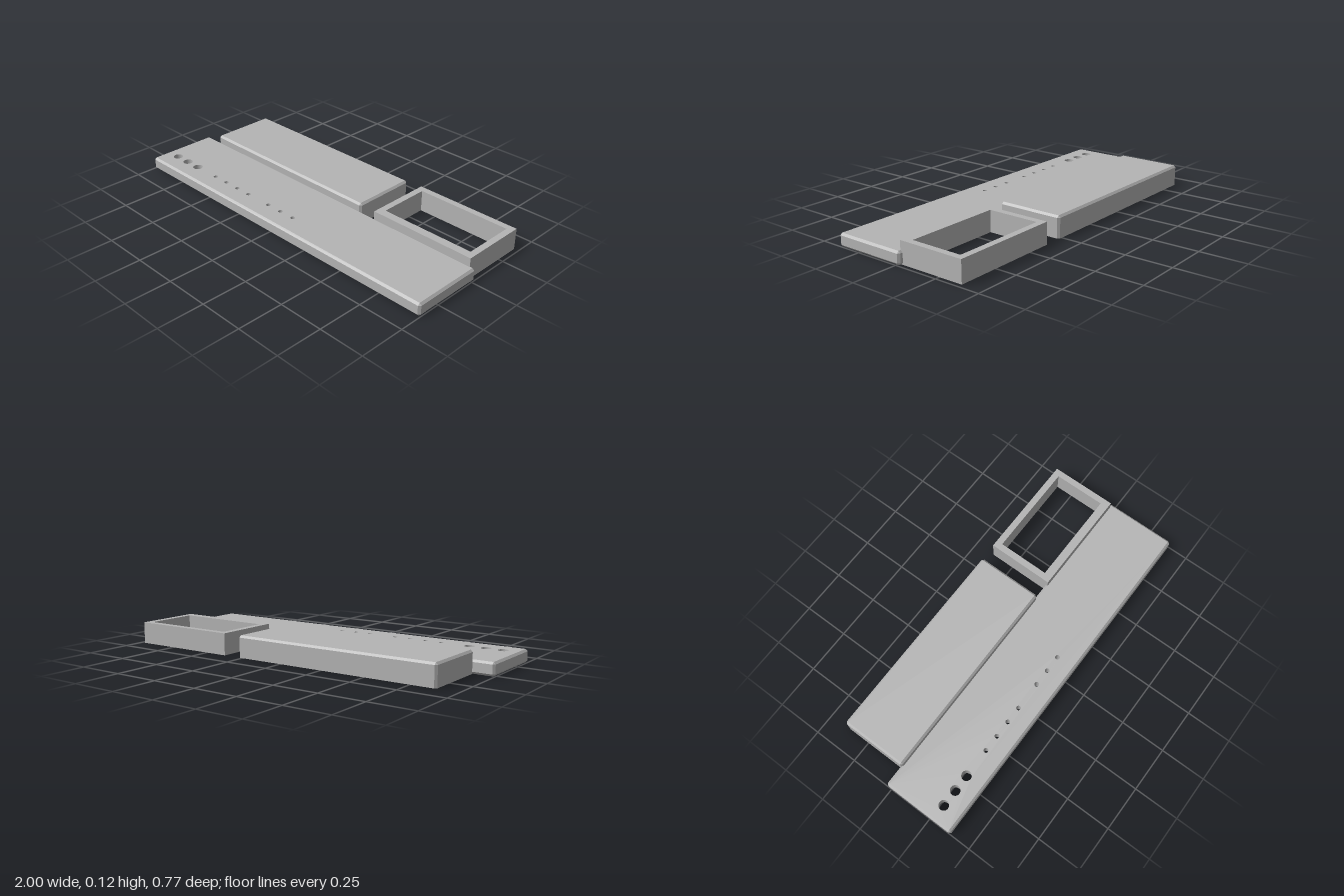
import * as THREE from 'three';

const grey = new THREE.MeshStandardMaterial({ color: 0xb4b4b4 });
grey.name = 'plain grey';

function add(group, geometry, name) {
  const mesh = new THREE.Mesh(geometry, grey);
  mesh.name = name;
  group.add(mesh);
  return mesh;
}

function rectShape(w, d) {
  const s = new THREE.Shape();
  s.moveTo(-w / 2, -d / 2).lineTo(w / 2, -d / 2).lineTo(w / 2, d / 2).lineTo(-w / 2, d / 2).closePath();
  return s;
}

// Eight-point ring: a rectangle whose corners are cut by c (c = 0 doubles the corner points)
function ring(w, d, c, y) {
  const x = w / 2, z = d / 2;
  return [[x, z - c], [x, -z + c], [x - c, -z], [-x + c, -z], [-x, -z + c], [-x, z - c], [-x + c, z], [x - c, z]]
    .map(([px, pz]) => [px, y, pz]);
}

// Flat-shaded side walls through a stack of rings, listed from the bottom up
function walls(rings) {
  const pos = [];
  for (let r = 0; r + 1 < rings.length; r++) {
    for (let i = 0; i < 8; i++) {
      const j = (i + 1) % 8;
      const a = rings[r][i], b = rings[r][j], c = rings[r + 1][j], d = rings[r + 1][i];
      pos.push(...a, ...b, ...c, ...a, ...c, ...d);
    }
  }
  const g = new THREE.BufferGeometry();
  g.setAttribute('position', new THREE.Float32BufferAttribute(pos, 3));
  g.computeVertexNormals();
  return g;
}

// Flat horizontal face with round openings given as [x, z, radius]
function cap(w, d, holes, y, up) {
  const s = rectShape(w, d);
  const side = up ? -1 : 1;
  for (const [x, z, r] of holes) {
    const p = new THREE.Path();
    p.absarc(x, side * z, r, 0, Math.PI * 2, true);
    s.holes.push(p);
  }
  return new THREE.ShapeGeometry(s, 24).rotateX(side * Math.PI / 2).translate(0, y, 0);
}

// Inward-facing wall of a round hole
function bore(x, z, r, h) {
  const g = new THREE.CylinderGeometry(r, r, h, 48, 1, true);
  g.index.array.reverse();
  const n = g.attributes.normal;
  for (let i = 0; i < n.count; i++) n.setXYZ(i, -n.getX(i), 0, -n.getZ(i));
  return g.translate(x, h / 2, z);
}

// Front panel: chamfered on every edge and pierced by a row of holes
function frontPanel() {
  const g = new THREE.Group();
  g.name = 'frontPanel';
  const w = 2, d = 0.406, h = 0.07, c = 0.011;
  const holes = [];
  for (const x of [-0.91, -0.817, -0.724]) holes.push([x, 0.095, 0.027]);
  for (const x of [-0.561, -0.468, -0.374, -0.281, -0.12, -0.026, 0.067]) holes.push([x, 0.095, 0.0125]);
  add(g, walls([
    ring(w - 2 * c, d - 2 * c, 0, 0), ring(w, d, c, c),
    ring(w, d, c, h - c), ring(w - 2 * c, d - 2 * c, 0, h),
  ]), 'panelEdges');
  add(g, cap(w - 2 * c, d - 2 * c, holes, h, true), 'panelTop');
  add(g, cap(w - 2 * c, d - 2 * c, holes, 0, false), 'panelBottom');
  for (const [x, z, r] of holes) add(g, bore(x, z, r, h), 'panelHole');
  g.position.z = 0.18;
  return g;
}

// Rear block: chamfered top and corners, three blind round pockets underneath
function rearBlock() {
  const g = new THREE.Group();
  g.name = 'rearBlock';
  const w = 1.16, d = 0.371, h = 0.118, c = 0.011, depth = 0.095;
  const pockets = [-0.35, 0, 0.35].map((x) => [x, 0, 0.115]);
  add(g, walls([ring(w, d, c, 0), ring(w, d, c, h - c), ring(w - 2 * c, d - 2 * c, 0, h)]), 'blockSides');
  add(g, cap(w - 2 * c, d - 2 * c, [], h, true), 'blockTop');
  // Underside follows the cut corners
  const under = new THREE.Shape(ring(w, d, c, 0).map(([x, , z]) => new THREE.Vector2(x, z)));
  for (const [x, z, r] of pockets) {
    const p = new THREE.Path();
    p.absarc(x, z, r, 0, Math.PI * 2, true);
    under.holes.push(p);
    add(g, bore(x, z, r, depth), 'pocketWall');
    add(g, new THREE.CircleGeometry(r, 48).rotateX(Math.PI / 2).translate(x, depth, z), 'pocketCeiling');
  }
  add(g, new THREE.ShapeGeometry(under, 24).rotateX(Math.PI / 2), 'blockBottom');
  g.position.set(-0.305, 0, -0.1975);
  return g;
}

// Open rectangular frame beside the block
function openFrame() {
  const s = new THREE.Shape();
  s.moveTo(0.37, 0.01).lineTo(0.975, 0.01).lineTo(0.975, 0.383).lineTo(0.37, 0.383).closePath();
  const hole = new THREE.Path();
  hole.moveTo(0.406, 0.056).lineTo(0.406, 0.347).lineTo(0.94, 0.347).lineTo(0.94, 0.056).closePath();
  s.holes.push(hole);
  return new THREE.ExtrudeGeometry(s, { depth: 0.118, bevelEnabled: false }).rotateX(-Math.PI / 2);
}

export function createModel() {
  const model = new THREE.Group();
  model.name = 'panelAssembly';
  model.add(frontPanel(), rearBlock());
  add(model, openFrame(), 'openFrame');
  return model;
}
